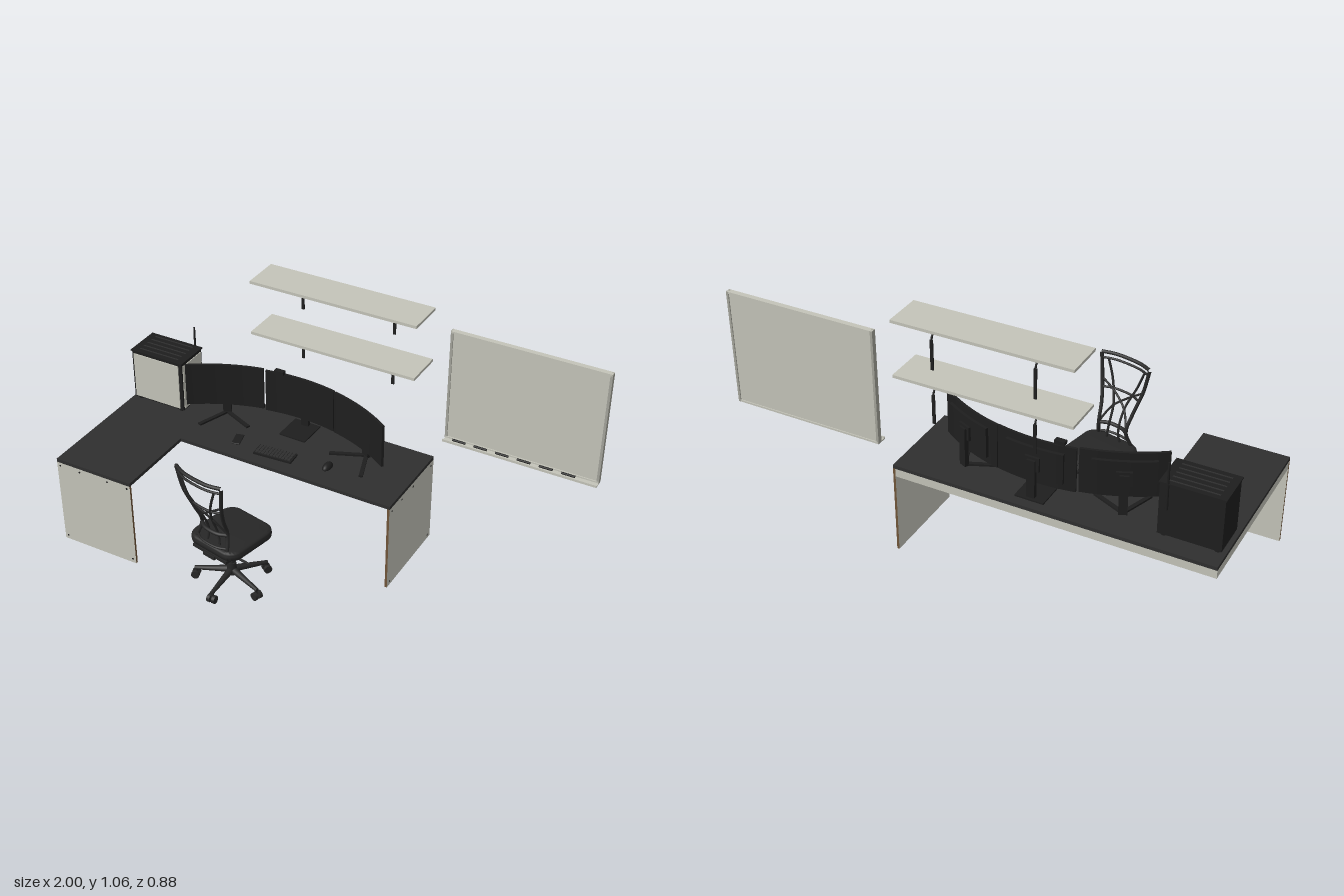
import * as THREE from 'three';
import { toCreasedNormals } from 'three/addons/utils/BufferGeometryUtils.js';
import { RoundedBoxGeometry } from 'three/addons/geometries/RoundedBoxGeometry.js';

const mat = (name, color) => {
  const m = new THREE.MeshStandardMaterial({ color });
  m.name = name;
  return m;
};

export function createModel() {
  const root = new THREE.Group();
  root.name = 'homeOffice';
  const pale = mat('paleGrey', 0xc4c4b9);
  const dark = mat('deskCharcoal', 0x2f2f2f);
  const black = mat('black', 0x1e1e1e);
  const chairMat = mat('chairBlack', 0x272727);
  const brown = mat('plywoodEdge', 0x705539);
  const grey = mat('frameGrey', 0xa3a39a);

  const group = (name, parent = root) => {
    const g = new THREE.Group();
    g.name = name;
    parent.add(g);
    return g;
  };
  const add = (parent, name, geo, m) => {
    const mesh = new THREE.Mesh(geo, m);
    mesh.name = name;
    parent.add(mesh);
    return mesh;
  };
  // Box given by its low and high limits on each axis
  const box = (parent, name, m, x0, x1, y0, y1, z0, z1) => {
    const b = add(parent, name, new THREE.BoxGeometry(x1 - x0, y1 - y0, z1 - z0), m);
    b.position.set((x0 + x1) / 2, (y0 + y1) / 2, (z0 + z1) / 2);
    return b;
  };
  const cyl = (parent, name, m, r0, r1, h, x, y, z, n = 20) => {
    const c = add(parent, name, new THREE.CylinderGeometry(r0, r1, h, n), m);
    c.position.set(x, y, z);
    return c;
  };
  const tube = (parent, name, m, pts, r) => {
    const curve = new THREE.CatmullRomCurve3(pts.map(p => new THREE.Vector3(...p)));
    return add(parent, name, new THREE.TubeGeometry(curve, 24, r, 8), m);
  };

  // Desk: L-shaped top, two end panels, two aprons
  const desk = group('desk');
  const L = new THREE.Shape([[-1, 0.41], [-1, -0.345], [-0.645, -0.345], [-0.645, 0.02], [0.315, 0.02], [0.315, 0.41]]
    .map(p => new THREE.Vector2(...p)));
  const top = add(desk, 'deskTop', new THREE.ExtrudeGeometry(L, { depth: 0.015, bevelEnabled: false }), dark);
  top.rotation.x = -Math.PI / 2;
  top.position.y = 0.385;
  box(desk, 'rightEndPanel', [pale, pale, brown, brown, brown, brown], 0.305, 0.315, 0, 0.385, -0.41, -0.018);
  box(desk, 'frontEndPanel', [brown, brown, brown, brown, pale, pale], -1, -0.645, 0, 0.385, 0.335, 0.345);
  box(desk, 'backApron', pale, -1, 0.305, 0.35, 0.385, -0.41, -0.4);
  box(desk, 'sideApron', pale, -1, -0.99, 0.35, 0.385, -0.4, 0.335);
  const screw = (x, y, z, side) => {
    const s = cyl(desk, 'screw', black, 0.004, 0.004, 0.002, x, y, z, 10);
    s.rotation[side ? 'z' : 'x'] = side ? -Math.PI / 2 : Math.PI / 2;
  };
  for (const x of [-0.985, -0.89, -0.755, -0.66]) screw(x, 0.37, 0.3455, false);
  for (const x of [-0.985, -0.66]) screw(x, 0.018, 0.3455, false);
  for (const z of [-0.04, -0.125, -0.225, -0.385]) screw(0.3155, 0.368, z, true);
  for (const z of [-0.04, -0.385]) screw(0.3155, 0.018, z, true);

  // Wall shelves on bent brackets
  for (const y of [1.045, 0.817]) {
    const shelf = group('wallShelf');
    box(shelf, 'shelfBoard', pale, -0.452, 0.275, y, y + 0.012, -0.441, -0.277);
    for (const x of [-0.302, 0.108]) {
      box(shelf, 'bracketArm', black, x - 0.006, x + 0.006, y - 0.009, y - 0.005, -0.415, -0.297);
      tube(shelf, 'bracketBend', black, [[x, y - 0.007, -0.413], [x, y - 0.012, -0.428], [x, y - 0.03, -0.435]], 0.004);
      box(shelf, 'bracketLeg', black, x - 0.006, x + 0.006, y - 0.15, y - 0.028, -0.438, -0.433);
    }
  }

  // Whiteboard with frame and pen tray
  const board = group('whiteboard');
  box(board, 'boardPanel', pale, 0.358, 0.997, 0.505, 0.982, -0.436, -0.424);
  for (const x of [0.353, 0.99]) box(board, 'frameSide', grey, x, x + 0.01, 0.5, 0.987, -0.44, -0.42);
  for (const y of [0.5, 0.979]) box(board, 'frameRail', pale, 0.355, 0.998, y, y + 0.008, -0.44, -0.419);
  box(board, 'penTray', pale, 0.355, 1, 0.497, 0.502, -0.435, -0.394);
  box(board, 'trayLip', pale, 0.355, 1, 0.497, 0.507, -0.397, -0.393);
  for (let i = 0; i < 6; i++) {
    const p = cyl(board, 'pen', black, 0.005, 0.005, 0.055, 0.42 + i * 0.092, 0.507, -0.409, 10);
    p.rotation.z = Math.PI / 2;
  }

  // Computer case
  const pc = group('computerCase');
  box(pc, 'caseBody', black, -0.985, -0.74, 0.41, 0.632, -0.338, -0.187);
  box(pc, 'caseLid', black, -0.99, -0.738, 0.632, 0.637, -0.345, -0.184);
  box(pc, 'frontPane', pale, -0.977, -0.755, 0.417, 0.622, -0.187, -0.183);
  box(pc, 'sidePane', pale, -0.74, -0.737, 0.417, 0.622, -0.33, -0.195);
  for (let i = 0; i < 5; i++) box(pc, 'lidSlot', dark, -0.96, -0.77, 0.637, 0.639, -0.325 + i * 0.028, -0.32 + i * 0.028);
  for (const x of [-0.965, -0.76]) for (const z of [-0.32, -0.205]) cyl(pc, 'foot', black, 0.012, 0.012, 0.012, x, 0.405, z);
  cyl(pc, 'antenna', black, 0.004, 0.006, 0.2, -0.772, 0.625, -0.342, 10);

  // Three curved monitors on one arc
  const cx = -0.255, cz = 0.47, R = 0.786;
  const sector = (r0, r1, a0, a1, h) => {
    const s = new THREE.Shape();
    s.absarc(0, 0, r1, Math.PI / 2 - a1, Math.PI / 2 - a0, false);
    s.absarc(0, 0, r0, Math.PI / 2 - a0, Math.PI / 2 - a1, true);
    const g = new THREE.ExtrudeGeometry(s, { depth: h, bevelEnabled: false, curveSegments: 14 });
    g.rotateX(-Math.PI / 2);
    return toCreasedNormals(g, 0.5);
  };
  [[-0.618, -0.204, 0.46], [-0.192, 0.216, 0.455], [0.221, 0.612, 0.453]].forEach(([a0, a1, y], i) => {
    const mon = group('monitor');
    const mid = (a0 + a1) / 2, w = a1 - a0;
    const part = (name, ...p) => add(mon, name, sector(...p), black).position.set(cx, 0, cz);
    add(mon, 'screen', sector(R, R + 0.011, a0, a1, 0.19), black).position.set(cx, y, cz);
    add(mon, 'rearHousing', sector(R + 0.011, R + 0.024, mid - w * 0.36, mid + w * 0.36, 0.13), black).position.set(cx, y + 0.03, cz);
    const stand = group('stand', mon);
    stand.position.set(cx + (R + 0.034) * Math.sin(mid), 0, cz - (R + 0.034) * Math.cos(mid));
    stand.rotation.y = -mid;
    box(stand, 'column', black, -0.017, 0.017, 0.4, 0.57, -0.009, 0.009);
    box(stand, 'mount', black, -0.03, 0.03, 0.52, 0.58, 0, 0.016);
    if (i === 1) {
      box(stand, 'basePlate', black, -0.06, 0.06, 0.4, 0.406, -0.02, 0.11);
    } else {
      for (const s of [-1, 1]) {
        const leg = group('baseLeg', stand);
        leg.rotation.y = s * 0.75;
        box(leg, 'legBar', black, -0.008, 0.008, 0.4, 0.408, -0.005, 0.15);
      }
    }
  });
  const cam = group('webcam');
  box(cam, 'webcamBody', black, -0.362, -0.32, 0.646, 0.662, -0.32, -0.298);

  // Keyboard, mouse and phone
  const keyboard = group('keyboard');
  keyboard.position.set(-0.247, 0.4, -0.108);
  keyboard.rotation.y = 0.07;
  box(keyboard, 'keyboardBody', black, -0.084, 0.084, 0, 0.008, -0.033, 0.033);
  for (let r = 0; r < 4; r++) for (let c = 0; c < 12; c++) {
    const x = -0.078 + c * 0.0131, z = -0.028 + r * 0.0145;
    box(keyboard, 'key', dark, x, x + 0.011, 0.008, 0.012, z, z + 0.012);
  }
  const mouse = add(group('mouse'), 'mouseBody', new THREE.SphereGeometry(1, 20, 10, 0, Math.PI * 2, 0, Math.PI / 2), black);
  mouse.scale.set(0.018, 0.02, 0.032);
  mouse.position.set(-0.022, 0.4, -0.135);
  const phone = add(group('phone'), 'phoneBody', new RoundedBoxGeometry(0.036, 0.006, 0.07, 2, 0.003), black);
  phone.position.set(-0.435, 0.403, -0.125);
  phone.rotation.y = 0.25;

  // Swivel chair, facing the desk
  const chair = group('chair');
  chair.position.set(-0.245, 0, 0.247);
  chair.rotation.y = -0.21;
  const hw = 0.07, sq = new THREE.Shape();
  for (let i = 0; i < 4; i++) {
    const a = i * Math.PI / 2, q = a + Math.PI / 4;
    sq.absarc(Math.SQRT2 * hw * Math.cos(q), Math.SQRT2 * hw * Math.sin(q), 0.04, a, a + Math.PI / 2, false);
  }
  const seatGeo = new THREE.ExtrudeGeometry(sq, { depth: 0.012, bevelThickness: 0.014, bevelSize: 0.016, bevelSegments: 4, curveSegments: 8 });
  seatGeo.rotateX(-Math.PI / 2);
  const seat = add(chair, 'seat', toCreasedNormals(seatGeo, 0.9), chairMat);
  seat.position.set(0, 0.229, -0.007);
  seat.scale.z = 1.03;
  box(chair, 'seatPan', chairMat, -0.09, 0.09, 0.203, 0.216, -0.09, 0.12);
  box(chair, 'tiltMechanism', chairMat, -0.045, 0.045, 0.187, 0.204, -0.07, 0.075);
  cyl(chair, 'tiltKnob', chairMat, 0.016, 0.016, 0.11, 0.01, 0.195, -0.052).rotation.z = Math.PI / 2;
  tube(chair, 'lever', chairMat, [[0.04, 0.2, 0.05], [0.1, 0.198, 0.055], [0.155, 0.205, 0.06]], 0.005);
  cyl(chair, 'gasColumn', chairMat, 0.014, 0.014, 0.11, 0, 0.14, 0);
  cyl(chair, 'columnSleeve', chairMat, 0.018, 0.022, 0.055, 0, 0.072, 0);

  // Five-star base with twin-wheel casters
  for (let i = 0; i < 5; i++) {
    const arm = group('baseArm', chair);
    arm.rotation.y = 1.15 + i * Math.PI * 2 / 5;
    const bar = add(arm, 'armBar', new THREE.CylinderGeometry(0.008, 0.015, 0.15, 8), chairMat);
    bar.rotation.z = -Math.PI / 2 - 0.12;
    bar.position.set(0.079, 0.054, 0);
    cyl(arm, 'casterPin', chairMat, 0.006, 0.006, 0.025, 0.147, 0.036, 0, 10);
    for (const s of [-1, 1]) cyl(arm, 'wheel', chairMat, 0.017, 0.017, 0.013, 0.15, 0.017, s * 0.011).rotation.x = Math.PI / 2;
  }

  // Open backrest woven from bent tubes
  const back = group('backrest', chair);
  const prof = [[0.225, 0.085, 0.11], [0.26, 0.08, 0.1], [0.32, 0.068, 0.083], [0.4, 0.078, 0.112], [0.49, 0.1, 0.142], [0.595, 0.118, 0.156]];
  for (const s of [-1, 1]) {
    tube(back, 'sidePost', chairMat, prof.map(([y, w, z]) => [s * w, y, z]), 0.0075);
    tube(back, 'innerRib', chairMat, [[s * 0.09, 0.575, 0.165], [s * 0.06, 0.49, 0.158], [s * 0.028, 0.4, 0.125], [s * 0.025, 0.3, 0.09], [s * 0.04, 0.215, 0.1]], 0.005);
    tube(back, 'crossRib', chairMat, [[s * 0.1, 0.49, 0.142], [s * 0.03, 0.44, 0.142], [-s * 0.03, 0.39, 0.12], [-s * 0.068, 0.32, 0.083]], 0.0045);
  }
  for (const [y, w, z, r] of [[0.597, 0.118, 0.156, 0.0075], [0.572, 0.114, 0.155, 0.005], [0.455, 0.09, 0.13, 0.005], [0.315, 0.068, 0.085, 0.008], [0.262, 0.08, 0.1, 0.005]])
    tube(back, 'backBar', chairMat, [[-w, y, z], [-w * 0.5, y, z + 0.018], [w * 0.5, y, z + 0.018], [w, y, z]], r);
  box(back, 'backSupport', chairMat, -0.03, 0.03, 0.195, 0.21, 0.07, 0.125);
  return root;
}
